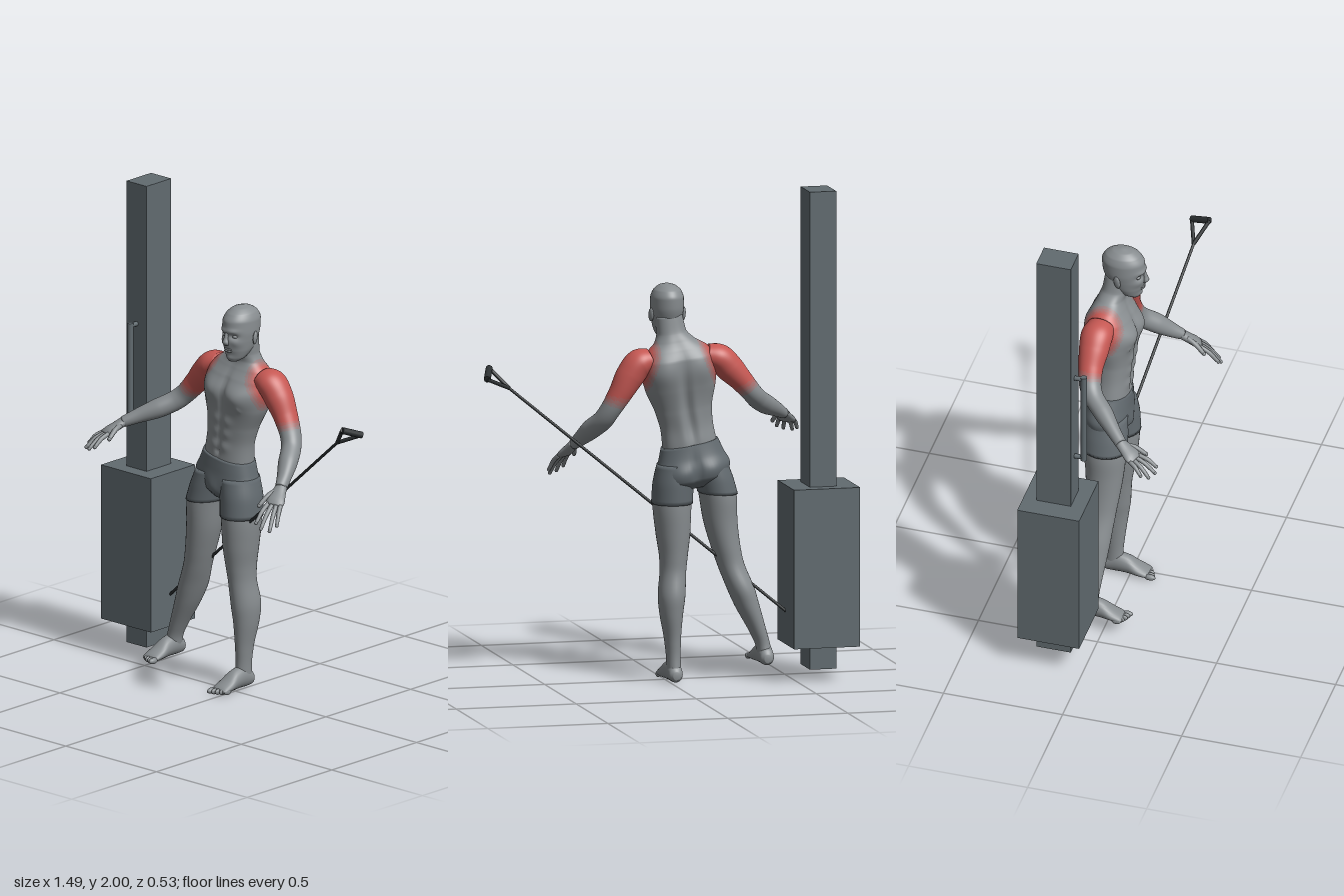
import * as THREE from 'three';

const mat = (name, color) => Object.assign(new THREE.MeshStandardMaterial({ color }), { name });
const V3 = (a) => new THREE.Vector3(...a);
const X = V3([1, 0, 0]), Y = V3([0, 1, 0]), Z = V3([0, 0, 1]);

// Smooth skin through rings [x, y, z, radiusU, radiusV]; rings follow the path unless a frame is given.
// bumps: [dx, y, side, widthX, widthY, amount] push the surface along V.
function loft(rows, { frame, seg = 32, steps = 5, square = 1, slope = 0, bumps = [], paint } = {}) {
  const path = new THREE.CatmullRomCurve3(rows.map(r => V3(r.slice(0, 3))));
  const size = new THREE.CatmullRomCurve3(rows.map(r => V3([r[3], r[4], 0])));
  const n = (rows.length - 1) * steps, pos = [], tris = [];
  const dir = path.getPoint(1).sub(path.getPoint(0));
  const flip = frame && frame[0].clone().cross(frame[1]).dot(dir) < 0 ? -1 : 1;
  for (let i = 0; i <= n; i++) {
    const c = path.getPoint(i / n), r = size.getPoint(i / n);
    let [U, V] = frame || [];
    if (!frame) {
      const t = path.getTangent(i / n);
      U = Z.clone().cross(t).normalize();
      V = t.clone().cross(U);
    }
    for (let j = 0; j < seg; j++) {
      const a = j / seg * Math.PI * 2, co = Math.cos(a), si = flip * Math.sin(a);
      const pw = (v) => Math.sign(v) * Math.abs(v) ** square;
      const p = c.clone().addScaledVector(U, r.x * pw(co)).addScaledVector(V, r.y * pw(si));
      let push = 0;
      for (const [dx, y, side, wx, wy, amt] of bumps) {
        push += side * amt * Math.min(1, Math.max(0, 2 * side * si))
          * Math.exp(-(((p.x - c.x - dx) / wx) ** 2) - ((p.y - y) / wy) ** 2);
      }
      p.addScaledVector(V, push);
      p.y += slope * (p.x - c.x);
      pos.push(p.x, p.y, p.z);
    }
  }
  for (let i = 0; i < n; i++) for (let j = 0; j < seg; j++) {
    const k = (j + 1) % seg, a = i * seg + j, b = i * seg + k;
    tris.push([a, b, a + seg], [b, b + seg, a + seg]);
  }
  const s = path.getPoint(0), e = path.getPoint(1), m = (n + 1) * seg;
  pos.push(s.x, s.y, s.z, e.x, e.y, e.z);
  for (let j = 0; j < seg; j++) {
    const k = (j + 1) % seg;
    tris.push([m, k, j], [m + 1, n * seg + j, n * seg + k]);
  }
  const g = new THREE.BufferGeometry();
  g.setAttribute('position', new THREE.Float32BufferAttribute(pos, 3));
  if (paint) {
    const sets = [];
    for (const t of tris) {
      const mid = V3([0, 1, 2].map(q => t.reduce((sum, v) => sum + pos[v * 3 + q], 0) / 3));
      (sets[paint(mid)] ||= []).push(...t);
    }
    const idx = [];
    sets.forEach((set, k) => { g.addGroup(idx.length, set.length, k); for (const v of set) idx.push(v); });
    g.setIndex(idx);
  } else g.setIndex(tris.flat());
  g.computeVertexNormals();
  return g;
}

export function createModel() {
  const root = new THREE.Group();
  root.name = 'cableExercise';
  const skin = mat('skin', 0x888d90), shorts = mat('shortsFabric', 0x626a6f);
  const steel = mat('machineSteel', 0x616b70), dark = mat('cableBlack', 0x2c3032);
  const body = [skin, mat('muscleRedFaint', 0x997f80), mat('muscleRedSoft', 0xa87271),
    mat('muscleRedMedium', 0xb76461), mat('muscleRed', 0xc65853)];

  const add = (name, geo, material, parent = root) => {
    const m = new THREE.Mesh(geo, material);
    m.name = name;
    parent.add(m);
    return m;
  };
  const box = (name, x0, x1, y0, y1, z0, z1) =>
    add(name, new THREE.BoxGeometry(x1 - x0, y1 - y0, z1 - z0), steel)
      .position.set((x0 + x1) / 2, (y0 + y1) / 2, (z0 + z1) / 2);
  const rod = (name, a, b, r, material) => {
    const p = V3(a), d = V3(b).sub(p);
    const m = add(name, new THREE.CylinderGeometry(r, r, d.length(), 12), material);
    m.position.copy(p).addScaledVector(d, 0.5);
    m.quaternion.setFromUnitVectors(Y, d.normalize());
  };
  const ball = (name, x, y, z, sx, sy, sz, parent = root) => {
    const m = add(name, new THREE.SphereGeometry(1, 16, 12), skin, parent);
    m.position.set(x, y, z);
    m.scale.set(sx, sy, sz);
    return m;
  };

  // Cable machine
  box('machinePost', -0.66, -0.55, 0.05, 2, -0.21, -0.065);
  box('weightHousing', -0.745, -0.47, 0.145, 0.795, -0.265, -0.005);
  rod('guideRod', [-0.605, 1, -0.027], [-0.605, 1.42, -0.027], 0.013, steel);
  for (const y of [1.012, 1.408]) rod('guideBracket', [-0.605, y, -0.07], [-0.605, y, -0.027], 0.01, steel);

  // Cable and triangular grip
  const A = [0.63, 1.205, 0.072], B = [0.73, 1.25, 0.035], C = [0.7, 1.282, 0.118];
  rod('cable', [-0.49, 0.265, -0.125], A, 0.006, dark);
  rod('gripStrap', A, B, 0.008, dark);
  rod('gripStrap', A, C, 0.008, dark);
  rod('gripBar', B, C, 0.014, dark);

  // Red fades outward from a line through each shoulder muscle
  const zones = [
    new THREE.Line3(V3([0.125, 1.32, -0.075]), V3([0.2, 1.225, -0.075])),
    new THREE.Line3(V3([-0.19, 1.335, -0.085]), V3([-0.275, 1.26, -0.085])),
  ];
  const paint = (p) => {
    const d = Math.min(...zones.map(l => l.closestPointToPoint(p, true, new THREE.Vector3()).distanceTo(p)));
    return [0.104, 0.093, 0.082, 0.072].filter(v => d < v).length;
  };

  // Torso and neck, with chest, stomach and back muscles
  const flat = [X, Z];
  const muscles = [[0, 1.26, 1, 0.014, 0.08, -0.012], [0, 1.08, 1, 0.01, 0.1, -0.006],
    [0, 1.15, -1, 0.02, 0.16, -0.016], [0, 1.0, 1, 0.009, 0.009, -0.008]];
  for (const s of [-1, 1]) {
    muscles.push([s * 0.07, 1.255, 1, 0.055, 0.05, 0.02], [s * 0.085, 1.28, -1, 0.055, 0.07, 0.014],
      [s * 0.035, 1.04, -1, 0.025, 0.08, 0.006], [s * 0.085, 1.21, 1, 0.008, 0.008, 0.005]);
    for (const y of [1.03, 1.085, 1.14]) muscles.push([s * 0.03, y, 1, 0.024, 0.022, 0.006]);
  }
  const toRow = ([y, x, z, a, b]) => [x, y, z, a, b];
  add('torso', loft([
    [0.9, -0.092, -0.06, 0.112, 0.075], [0.97, -0.087, -0.06, 0.11, 0.077], [1.04, -0.077, -0.057, 0.107, 0.073],
    [1.12, -0.062, -0.058, 0.117, 0.08], [1.2, -0.05, -0.062, 0.142, 0.092], [1.27, -0.042, -0.067, 0.153, 0.097],
    [1.325, -0.036, -0.077, 0.148, 0.087], [1.365, -0.028, -0.08, 0.122, 0.068], [1.395, -0.02, -0.078, 0.083, 0.056],
    [1.43, -0.01, -0.068, 0.06, 0.053], [1.5, 0, -0.06, 0.054, 0.05],
  ].map(toRow), { frame: flat, seg: 96, steps: 8, square: 0.88, slope: -0.12, bumps: muscles, paint }), body);

  // Head and face
  const head = new THREE.Group();
  head.name = 'head';
  root.add(head);
  const face = [[0, 1.418, 1, 0.02, 0.014, 0.008], [0, 1.47, 1, 0.02, 0.03, 0.004]];
  for (const s of [-1, 1]) face.push([s * 0.028, 1.513, 1, 0.016, 0.011, -0.012],
    [s * 0.025, 1.535, 1, 0.022, 0.009, 0.006], [s * 0.04, 1.485, 1, 0.016, 0.016, 0.005]);
  add('skull', loft([
    [1.403, 0, 0.01, 0.022, 0.018], [1.418, 0, -0.005, 0.04, 0.038], [1.45, 0, -0.02, 0.055, 0.063],
    [1.49, 0, -0.03, 0.063, 0.081], [1.53, 0, -0.035, 0.067, 0.088], [1.57, 0, -0.038, 0.066, 0.088],
    [1.6, 0, -0.04, 0.054, 0.071], [1.618, 0, -0.04, 0.032, 0.043], [1.626, 0, -0.04, 0.006, 0.008],
  ].map(toRow), { frame: flat, seg: 64, steps: 8, bumps: face }), skin, head);
  add('nose', loft([[0, 1.53, 0.047, 0.008, 0.008], [0, 1.505, 0.055, 0.009, 0.009],
    [0, 1.488, 0.058, 0.014, 0.012], [0, 1.476, 0.052, 0.011, 0.008]], { frame: flat, seg: 16 }), skin, head);
  for (const y of [1.449, 1.457]) ball('lip', 0, y, 0.043, 0.02, 0.0045, 0.01, head);
  for (const s of [-1, 1]) {
    ball('eye', s * 0.027, 1.512, 0.03, 0.012, 0.008, 0.011, head);
    ball('ear', s * 0.068, 1.5, -0.045, 0.008, 0.028, 0.016, head).rotation.set(-0.15, s * 0.35, 0);
  }

  // Shorts: pelvis and two legs
  const glutes = [[0, 0.86, -1, 0.014, 0.06, -0.014], [-0.065, 0.85, -1, 0.05, 0.05, 0.014],
    [0.065, 0.85, -1, 0.05, 0.05, 0.014], [0, 0.84, 1, 0.035, 0.035, 0.012]];
  add('shortsPelvis', loft([
    [0.974, -0.087, -0.06, 0.116, 0.082], [0.92, -0.093, -0.062, 0.134, 0.087], [0.87, -0.099, -0.065, 0.153, 0.091],
    [0.83, -0.1, -0.065, 0.146, 0.084], [0.795, -0.105, -0.063, 0.08, 0.05],
  ].map(toRow), { frame: flat, seg: 64, steps: 6, square: 0.9, slope: -0.17, bumps: glutes }), shorts);
  add('shortsLeftLeg', loft([[0.89, -0.03, -0.06, 0.076, 0.086], [0.81, -0.02, -0.058, 0.083, 0.094],
    [0.73, -0.016, -0.055, 0.084, 0.094]].map(toRow), { frame: flat }), shorts);
  add('shortsRightLeg', loft([[0.9, -0.165, -0.06, 0.076, 0.086], [0.83, -0.188, -0.058, 0.08, 0.093],
    [0.765, -0.206, -0.055, 0.081, 0.094]].map(toRow), { frame: flat, slope: 0.05 }), shorts);

  // Legs
  add('leftLeg', loft([
    [0.84, -0.022, -0.056, 0.074, 0.084], [0.73, -0.016, -0.055, 0.078, 0.089], [0.6, -0.02, -0.055, 0.069, 0.08],
    [0.52, -0.021, -0.058, 0.058, 0.07], [0.45, -0.018, -0.062, 0.053, 0.064], [0.36, -0.01, -0.073, 0.055, 0.069],
    [0.28, -0.008, -0.074, 0.047, 0.06], [0.18, -0.014, -0.07, 0.034, 0.044], [0.1, -0.018, -0.07, 0.029, 0.037],
    [0.04, -0.02, -0.072, 0.029, 0.04],
  ].map(toRow), { frame: flat }), skin);
  add('rightLeg', loft([
    [0.86, -0.18, -0.057, 0.07, 0.082], [0.765, -0.205, -0.055, 0.076, 0.089], [0.65, -0.218, -0.052, 0.069, 0.079],
    [0.55, -0.238, -0.054, 0.06, 0.07], [0.47, -0.26, -0.058, 0.055, 0.064], [0.38, -0.295, -0.07, 0.056, 0.068],
    [0.3, -0.325, -0.07, 0.05, 0.06], [0.2, -0.368, -0.066, 0.036, 0.044], [0.14, -0.391, -0.064, 0.03, 0.037],
    [0.095, -0.4, -0.067, 0.029, 0.04],
  ].map(toRow), { frame: flat }), skin);

  // Feet with toes
  for (const [name, x, y, s] of [['leftFoot', -0.02, 0, 1], ['rightFoot', -0.4, 0.055, -1]]) {
    const foot = new THREE.Group();
    foot.name = name;
    foot.position.set(x, y, 0);
    root.add(foot);
    add('footBody', loft([[0, 0.03, -0.12, 0.014, 0.016], [0, 0.035, -0.105, 0.028, 0.032],
      [0, 0.046, -0.06, 0.032, 0.045], [0, 0.041, -0.01, 0.035, 0.04], [0, 0.026, 0.035, 0.041, 0.025],
      [0, 0.017, 0.07, 0.039, 0.015], [0, 0.014, 0.08, 0.034, 0.01]], { frame: [X, Y], seg: 24 }), skin, foot);
    for (let i = 0; i < 5; i++) ball('toe', s * (-0.029 + i * 0.0155), 0.013, 0.087 - i * i * 0.0018,
      i ? 0.008 : 0.012, 0.0125, i ? 0.019 : 0.024, foot);
  }

  // Arms
  add('leftArm', loft([
    [0.08, 1.325, -0.08, 0.045, 0.055], [0.128, 1.308, -0.08, 0.058, 0.066], [0.165, 1.26, -0.08, 0.058, 0.062],
    [0.205, 1.19, -0.078, 0.048, 0.052], [0.245, 1.12, -0.065, 0.041, 0.045], [0.268, 1.078, -0.043, 0.041, 0.041],
    [0.3, 1.035, 0.01, 0.041, 0.039], [0.33, 0.99, 0.065, 0.031, 0.029], [0.35, 0.96, 0.105, 0.022, 0.025],
  ], { seg: 48, steps: 10, paint }), body);
  add('rightArm', loft([
    [-0.15, 1.335, -0.085, 0.045, 0.055], [-0.205, 1.318, -0.09, 0.057, 0.065], [-0.245, 1.278, -0.09, 0.057, 0.061],
    [-0.295, 1.225, -0.088, 0.047, 0.05], [-0.345, 1.168, -0.075, 0.041, 0.044], [-0.375, 1.138, -0.05, 0.041, 0.04],
    [-0.42, 1.108, 0, 0.04, 0.039], [-0.48, 1.075, 0.06, 0.03, 0.029], [-0.522, 1.05, 0.105, 0.022, 0.024],
  ], { seg: 48, steps: 10, paint }), body);

  // Hands: palm, four spread fingers and a thumb; s mirrors, drop sets how far the fingers hang
  const hand = (name, [wx, wy, wz], [kx, ky, kz], s, drop) => {
    const g = new THREE.Group();
    g.name = name;
    root.add(g);
    const side = [V3([s * 0.92, -0.1, -0.38]).normalize(), V3([s * 0.25, 0.83, 0.5]).normalize()];
    const mid = (t) => [wx + (kx - wx) * t, wy + (ky - wy) * t, wz + (kz - wz) * t];
    add('palm', loft([[...mid(-0.1), 0.024, 0.02], [...mid(0.35), 0.03, 0.018], [...mid(0.8), 0.038, 0.017],
      [...mid(1.08), 0.034, 0.011]], { frame: side, seg: 20 }), skin, g);
    const tips = [[0.052, -0.055, 0.042], [0.04, -0.07, 0.072], [0.008, -0.065, 0.089], [-0.02, -0.05, 0.087]];
    const digit = (label, a, b, r) => {
      const bend = a.map((v, i) => (v + b[i]) / 2 + (i === 1 ? 0.008 : 0));
      add(label, loft([[...a, r, r], [...bend, r * 0.95, r * 0.95], [...b, r * 0.75, r * 0.75]], { seg: 12 }), skin, g);
      ball('fingertip', ...b, r * 0.78, r * 0.78, r * 0.78, g);
    };
    tips.forEach(([x, y, z], i) => {
      const d = 0.026 - i * 0.0175;
      digit('finger', [kx + s * d * 0.92, ky - d * 0.1, kz - d * 0.38], [kx + s * x, ky + y * drop, kz + z], 0.0095);
    });
    digit('thumb', [wx - s * 0.008, wy - 0.008, wz + 0.022], [kx - s * 0.052, ky - 0.008, kz + 0.035], 0.011);
  };
  hand('leftHand', [0.35, 0.96, 0.105], [0.375, 0.91, 0.17], 1, 1.25);
  hand('rightHand', [-0.522, 1.05, 0.105], [-0.555, 1.012, 0.17], -1, 0.75);
  return root;
}
